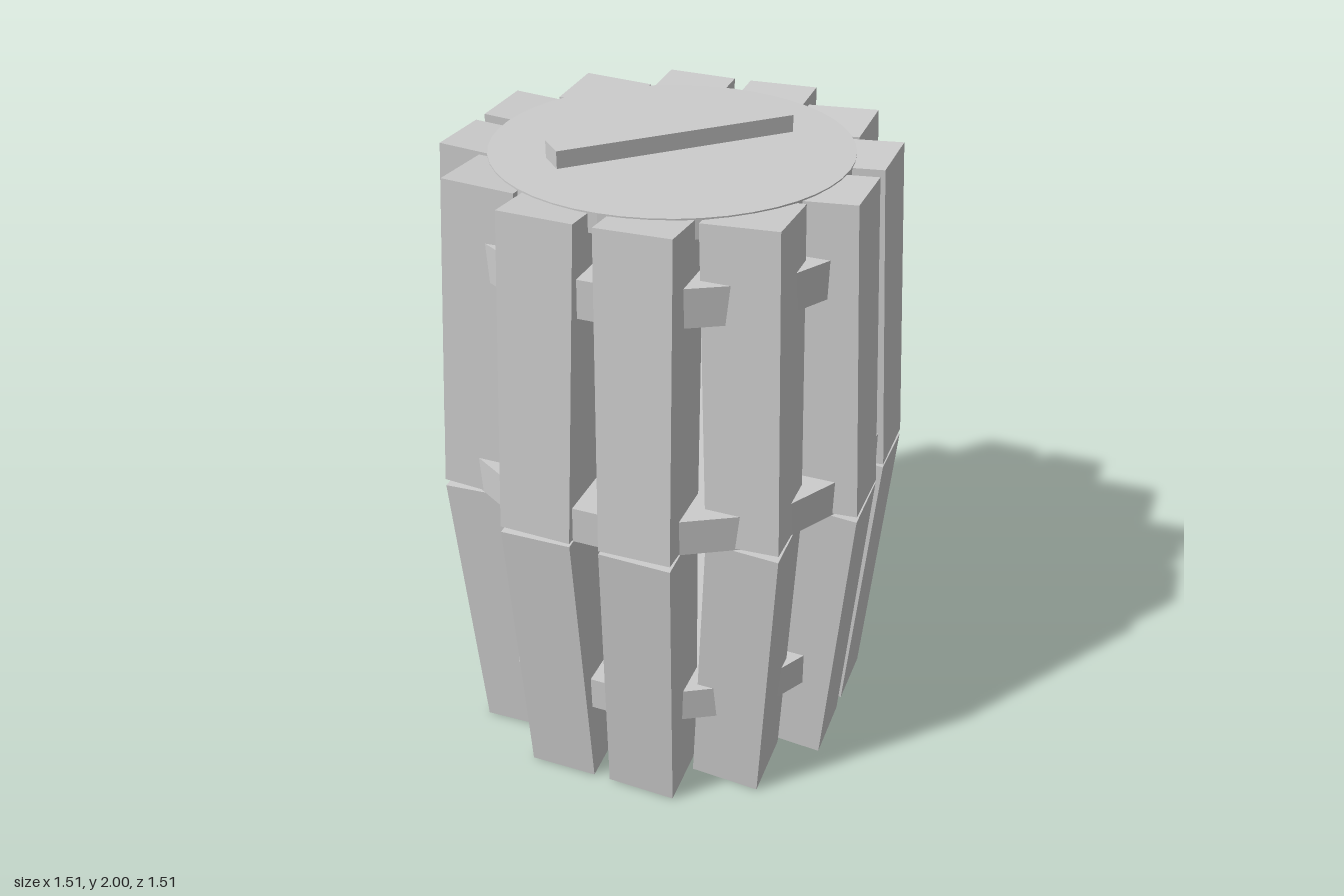
import * as THREE from 'three';

const grey = new THREE.MeshStandardMaterial({ color: 0xcccccc, flatShading: true });
const MID = 0.978;        // height of the belly seam
const R_BELLY = 0.6;      // stave centre radius at the seam
const R_END = 0.53;       // stave centre radius at top and bottom
const END_Y = 0.011;      // stave centre height at the bottom end

function add(parent, name, geometry, x = 0, y = 0, z = 0) {
  const mesh = new THREE.Mesh(geometry, grey);
  mesh.name = name;
  mesh.position.set(x, y, z);
  parent.add(mesh);
  return mesh;
}

export function createModel() {
  const barrel = new THREE.Group();
  barrel.name = 'barrel';

  // Twelve pairs of staves lean inward from the belly; all stay square to the diagonals
  const rise = MID - END_Y;
  const lean = Math.atan2(R_BELLY - R_END, rise);
  const stave = new THREE.BoxGeometry(0.22, rise / Math.cos(lean), 0.22);
  for (let i = 0; i < 12; i++) {
    const angle = (i * Math.PI) / 6;
    const pair = new THREE.Group();
    pair.name = 'stavePair';
    pair.rotation.y = angle;
    for (const side of [1, -1]) {
      const name = side > 0 ? 'upperStave' : 'lowerStave';
      const mesh = add(pair, name, stave, 0, MID + (side * rise) / 2, (R_BELLY + R_END) / 2);
      mesh.rotation.set(-side * lean, Math.PI / 4 - angle, 0);
    }
    barrel.add(pair);
  }

  // Twelve-sided discs that show between the staves as hoops
  for (const [name, radius, y] of [
    ['lowerHoop', 0.627, 0.345],
    ['middleHoop', 0.688, 1.035],
    ['upperHoop', 0.627, 1.73],
  ]) {
    add(barrel, name, new THREE.CylinderGeometry(radius, radius, 0.115, 12), 0, y, 0);
  }

  // Round lid with a bar handle
  add(barrel, 'lid', new THREE.CylinderGeometry(R_END, R_END, 0.06, 48), 0, 1.919, 0);
  add(barrel, 'lidHandle', new THREE.BoxGeometry(0.735, 0.07, 0.092), 0, 1.965, 0);

  return barrel;
}
